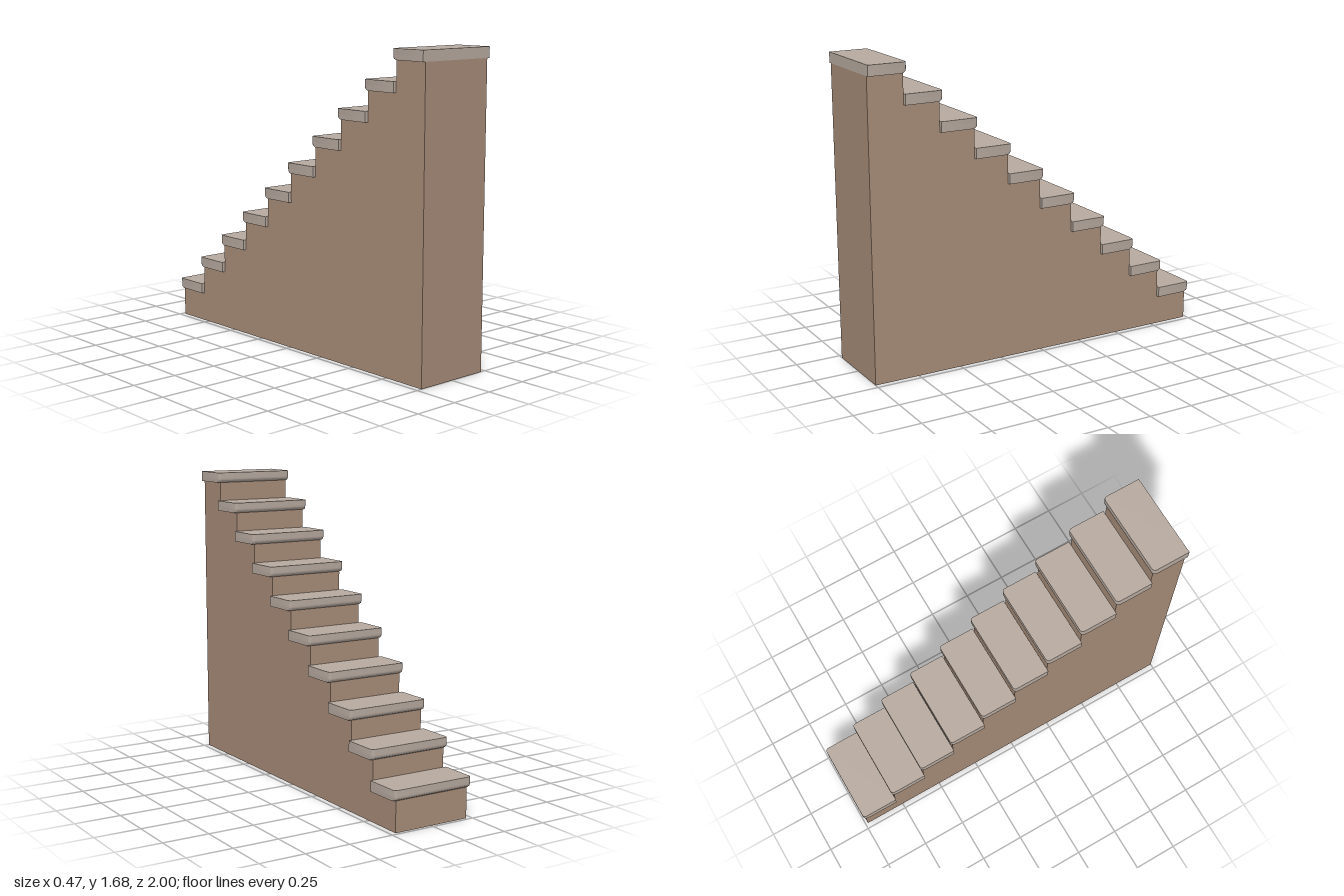
import * as THREE from 'three';
import { toCreasedNormals } from 'three/addons/utils/BufferGeometryUtils.js';

const STEPS = 10, RUN = 0.1987, RISE = 0.1615;
const BODY_HALF = 0.22, TREAD_HALF = 0.237;
const THICK = 0.057, NOSE = 0.015, FIRST_TOP = 0.165;

// Solid stepped block, drawn as a side profile in (z, y) and extruded across x
function bodyGeometry() {
  const s = new THREE.Shape();
  s.moveTo(1, 0);
  for (let i = STEPS - 1; i >= 0; i--) {
    const top = FIRST_TOP + i * RISE;
    const back = i === STEPS - 1 ? 1 : -1 + NOSE + (i + 1) * RUN;
    s.lineTo(back, top);
    s.lineTo(-1 + NOSE + i * RUN, top);
  }
  s.lineTo(-1 + NOSE, 0);
  s.closePath();
  const g = new THREE.ExtrudeGeometry(s, { depth: BODY_HALF * 2, bevelEnabled: false });
  g.translate(0, 0, -BODY_HALF);
  g.rotateY(-Math.PI / 2);
  return g;
}

// Slab with rounded front corners and a nosing that curves in at the bottom
function treadGeometry(depth) {
  const w = TREAD_HALF, r = 0.02;
  const s = new THREE.Shape();
  s.moveTo(-w, depth);
  s.lineTo(-w, r);
  s.quadraticCurveTo(-w, 0, -w + r, 0);
  s.lineTo(w - r, 0);
  s.quadraticCurveTo(w, 0, w, r);
  s.lineTo(w, depth);
  s.closePath();
  const g = new THREE.ExtrudeGeometry(s, { depth: THICK, steps: 8, curveSegments: 4, bevelEnabled: false });
  g.rotateX(Math.PI / 2);
  const p = g.attributes.position;
  for (let i = 0; i < p.count; i++) {
    if (p.getZ(i) > depth / 2) continue;
    const t = Math.min(1, Math.max(0, (-p.getY(i) - 0.035) / (THICK - 0.035)));
    p.setZ(i, p.getZ(i) + 0.016 * (1 - Math.sqrt(1 - t * t)));
  }
  return toCreasedNormals(g, 0.8);
}

export function createModel() {
  const model = new THREE.Group();
  model.name = 'staircase';
  const bodyMat = new THREE.MeshStandardMaterial({ color: 0xa88d79 });
  bodyMat.name = 'brown base';
  const treadMat = new THREE.MeshStandardMaterial({ color: 0xb8aba1 });
  treadMat.name = 'pale tread';

  const body = new THREE.Mesh(bodyGeometry(), bodyMat);
  body.name = 'stairBody';
  model.add(body);

  // One tread on every step
  const geo = treadGeometry(RUN + NOSE - 0.002);
  for (let i = 0; i < STEPS; i++) {
    const tread = new THREE.Mesh(geo, treadMat);
    tread.name = 'tread' + (i + 1);
    tread.position.set(0, FIRST_TOP + THICK + i * RISE, -1 + i * RUN);
    model.add(tread);
  }
  return model;
}
